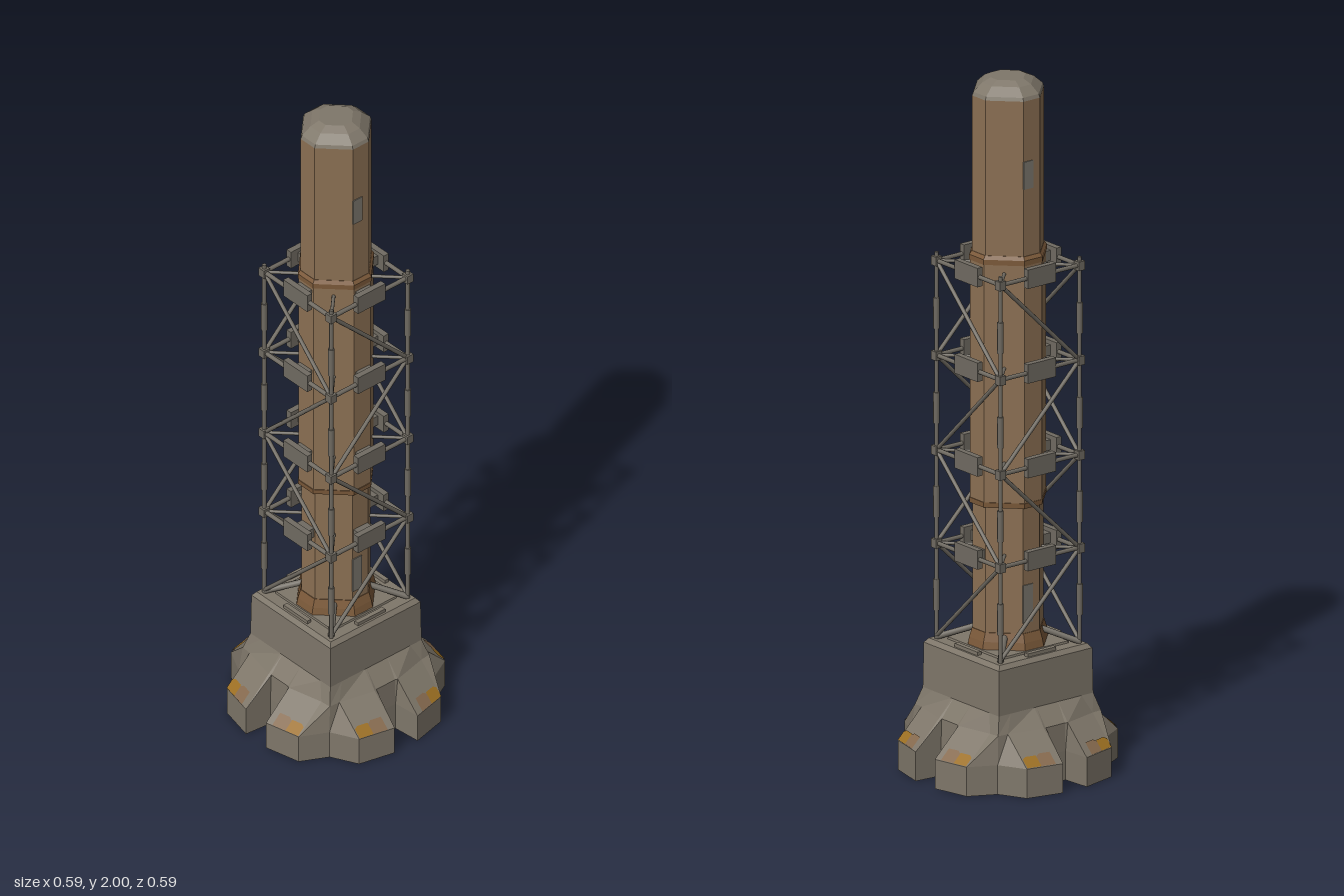
import * as THREE from 'three';

const mat = (name, color, side = THREE.FrontSide) => {
  const m = new THREE.MeshStandardMaterial({ color, side });
  m.name = name;
  return m;
};

// Repeat a quarter outline (from +z towards +x) around the y axis
function quarterTurns(points) {
  const ring = [];
  for (let k = 0; k < 4; k++) {
    const c = Math.round(Math.cos(k * Math.PI / 2)), s = Math.round(Math.sin(k * Math.PI / 2));
    for (const [x, z] of points) ring.push([x * c + z * s, z * c - x * s]);
  }
  return ring;
}

// Flat-shaded loft through rings of { y, pts }, closed at both ends
function loft(rings) {
  const pos = [];
  const put = (p, y) => pos.push(p[0], y, p[1]);
  for (let r = 0; r < rings.length - 1; r++) {
    const lo = rings[r], hi = rings[r + 1], n = lo.pts.length;
    for (let i = 0; i < n; i++) {
      const j = (i + 1) % n;
      put(lo.pts[i], lo.y); put(lo.pts[j], lo.y); put(hi.pts[j], hi.y);
      put(lo.pts[i], lo.y); put(hi.pts[j], hi.y); put(hi.pts[i], hi.y);
    }
  }
  const cap = ({ y, pts }, up) => {
    const flat = pts.map(([x, z]) => new THREE.Vector2(x, -z));
    for (const t of THREE.ShapeUtils.triangulateShape(flat, [])) {
      for (const i of up ? t : [t[0], t[2], t[1]]) put(pts[i], y);
    }
  };
  cap(rings[0], false);
  cap(rings[rings.length - 1], true);
  const g = new THREE.BufferGeometry();
  g.setAttribute('position', new THREE.Float32BufferAttribute(pos, 3));
  g.computeVertexNormals();
  return g;
}

// Cut-corner octagon and plain square outlines
const octagon = (r) => quarterTurns([[r * 0.28, r], [r, r * 0.28]]);
const square = (r, cut = 0.006) => quarterTurns([[r - cut, r], [r, r - cut]]);

export function createModel() {
  const model = new THREE.Group();
  model.name = 'trussedTower';
  const stone = mat('base grey', 0x7f776a);
  const brown = mat('tube brown', 0x8c7053);
  const band = mat('band rust', 0x7c5a3a);
  const steel = mat('truss steel', 0x706b62);
  const ochre = mat('ochre paint', 0x9c6f22, THREE.DoubleSide);
  const faded = mat('faded paint', 0x866a4e, THREE.DoubleSide);
  const patch = mat('grey patch', 0x7b776e);

  const add = (parent, name, geometry, material) => {
    const m = new THREE.Mesh(geometry, material);
    m.name = name;
    parent.add(m);
    return m;
  };
  const box = (parent, name, size, at, material) => {
    const m = add(parent, name, new THREE.BoxGeometry(...size), material);
    m.position.set(...at);
    return m;
  };
  const rod = (parent, name, a, b, r, material = steel) => {
    const A = new THREE.Vector3(...a), B = new THREE.Vector3(...b);
    const m = add(parent, name, new THREE.CylinderGeometry(r, r, A.distanceTo(B), 8), material);
    m.position.copy(A).add(B).multiplyScalar(0.5);
    m.quaternion.setFromUnitVectors(new THREE.Vector3(0, 1, 0), B.sub(A).normalize());
    return m;
  };

  // Base: eight splayed feet merging into a square block
  const mirror = (half) => [...half, ...half.slice(0, 3).reverse().map(([x, z]) => [z, x])];
  const foot = quarterTurns(mirror([[0.034, 0.21], [0.042, 0.293], [0.15, 0.268], [0.19, 0.19]]));
  const shoulder = quarterTurns(mirror([[0.034, 0.207], [0.042, 0.21], [0.15, 0.185], [0.182, 0.182]]));
  const blockRing = (r) => quarterTurns(mirror([[0.034, r], [0.042, r], [r * 0.75, r], [r, r]]));
  add(model, 'base', loft([
    { y: 0, pts: foot }, { y: 0.085, pts: foot }, { y: 0.165, pts: shoulder },
    { y: 0.215, pts: blockRing(0.167) }, { y: 0.345, pts: blockRing(0.165) },
    { y: 0.358, pts: blockRing(0.155) },
  ]), stone);
  add(model, 'deckPlate', loft([
    { y: 0.35, pts: square(0.123) }, { y: 0.364, pts: square(0.12) },
  ]), stone);

  // Paint on the sloping tops of the feet
  const slopePoint = (u, v) => new THREE.Vector3(
    0.042 + 0.108 * u, 0.085 + 0.08 * v + 0.002, 0.293 - 0.025 * u - 0.083 * v + 0.002);
  const paintGeometry = (u0, u1, v1) => {
    const c = [[u0, 0.01], [u1, 0.01], [u1, v1 * 0.8], [u1 - 0.1, v1], [u0, v1]].map((p) => slopePoint(...p));
    const g = new THREE.BufferGeometry().setFromPoints(
      [c[0], c[1], c[2], c[0], c[2], c[3], c[0], c[3], c[4]]);
    g.computeVertexNormals();
    return g;
  };
  for (let k = 0; k < 4; k++) {
    for (const side of [1, -1]) {
      const paint = new THREE.Group();
      paint.name = 'footPaint';
      add(paint, 'ochreMark', paintGeometry(0.6, 0.99, 0.32), ochre);
      add(paint, 'fadedMark', paintGeometry(0.2, 0.6, 0.36), faded);
      paint.scale.x = side;
      paint.rotation.y = k * Math.PI / 2;
      model.add(paint);
    }
  }

  // Central tube in three stages, with bands and a rounded cap
  const column = (name, material, ...steps) =>
    add(model, name, loft(steps.map(([y, r]) => ({ y, pts: octagon(r) }))), material);
  column('tubeFoot', band, [0.355, 0.118], [0.385, 0.112], [0.41, 0.104]);
  column('lowerTube', brown, [0.4, 0.102], [0.775, 0.102], [0.785, 0.11]);
  column('middleTube', brown, [0.785, 0.11], [1.48, 0.11]);
  column('upperBand', band, [1.48, 0.112], [1.495, 0.112], [1.505, 0.105]);
  column('upperTube', brown, [1.5, 0.104], [1.955, 0.104]);
  column('lowerBand', band, [0.775, 0.111], [0.79, 0.112]);
  column('cap', stone, [1.955, 0.104], [1.965, 0.1], [1.988, 0.075], [2.0, 0.05]);
  for (const s of [1, -1]) {
    box(model, 'upperPatch', [0.034, 0.08, 0.004], [-0.013 * s, 1.74, 0.105 * s], patch);
    box(model, 'lowerPatch', [0.034, 0.11, 0.004], [-0.013 * s, 0.495, 0.103 * s], patch);
  }

  // Truss: one side repeated four times
  const levels = [0.635, 0.905, 1.18, 1.455], p = 0.14;
  for (let k = 0; k < 4; k++) {
    const side = new THREE.Group();
    side.name = 'trussSide';
    side.rotation.y = k * Math.PI / 2;
    model.add(side);

    rod(side, 'post', [p, 0.35, p], [p, 1.48, p], 0.006);
    rod(side, 'gusset', [p, 0.362, p], [0.06, 0.4, 0.06], 0.009);
    box(side, 'deckClamp', [0.1, 0.012, 0.014], [0, 0.362, p + 0.002], stone);

    levels.forEach((y, i) => {
      const below = i ? levels[i - 1] : 0.365;
      const mid = (y + below) / 2;
      rod(side, 'postSleeve', [p, mid - 0.06, p], [p, mid + 0.03, p], 0.009);
      box(side, 'joint', [0.022, 0.026, 0.022], [p, y, p], steel);
      rod(side, 'crossBar', [-p, y, p], [p, y, p], 0.0065);
      box(side, 'clamp', [0.1, 0.055, 0.018], [0, y, p], steel);
      box(side, 'clampArm', [0.05, 0.03, 0.04], [0, y, p - 0.022], steel);
      rod(side, 'cornerStrut', [p, y, p], [0.066, y, 0.066], 0.005);
      // zigzag braces, alternating from bay to bay
      const s = i % 2 ? -1 : 1;
      rod(side, 'brace', [-p * s, below, p], [p * s, y, p], 0.006);
    });
  }
  return model;
}
